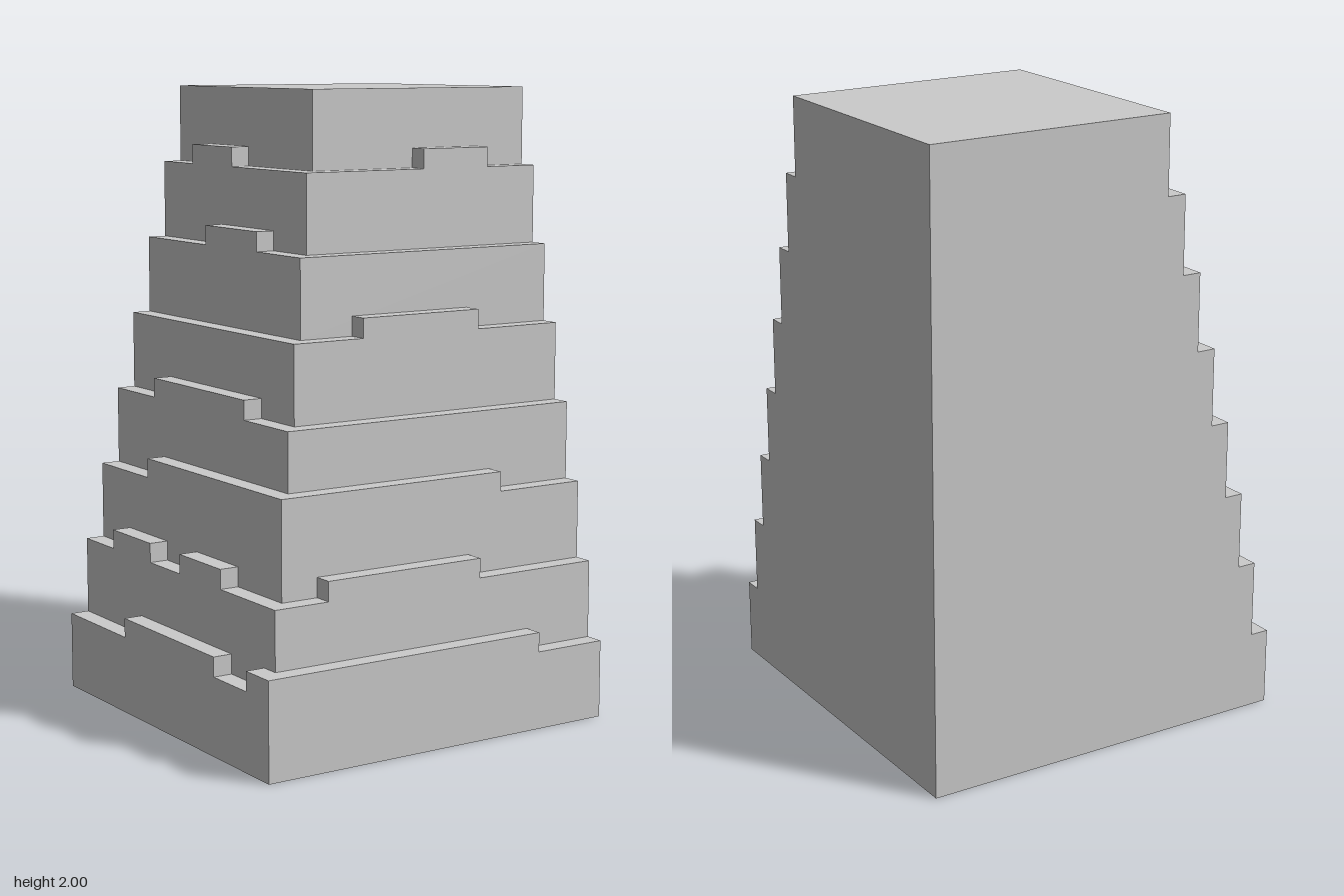
import * as THREE from 'three';

const U = 0.0625;      // ledge depth and ridge height
const HALF = 0.625;    // half width of the base
const STEP = 0.25;     // height of one tier

// Raised ridges on each tier's ledge: front spans along x, side spans along z
const TIERS = [
  { front: [[-0.5625, 0.375]], side: [[-0.25, 0.3125], [0.5, 0.625]] },
  { front: [[-0.375, 0.1875]], side: [[-0.4375, -0.1875], [0, 0.25]] },
  { front: [[-0.4375, 0.3125]], side: [[-0.3125, 0.5]] },
  { front: [], side: [[-0.375, 0.1875]] },
  { front: [[-0.125, 0.3125]], side: [] },
  { front: [], side: [[-0.25, 0.0625]] },
  { front: [[0.1875, 0.4375]], side: [[-0.4375, -0.1875]] },
  { front: [], side: [] },
];

export function createModel() {
  const group = new THREE.Group();
  group.name = 'steppedCliff';
  const material = new THREE.MeshStandardMaterial({ color: 0xcccccc, flatShading: true });

  // Box given by its extents on each axis
  function block(name, parent, [x0, x1], [y0, y1], [z0, z1]) {
    const mesh = new THREE.Mesh(new THREE.BoxGeometry(x1 - x0, y1 - y0, z1 - z0), material);
    mesh.position.set((x0 + x1) / 2, (y0 + y1) / 2, (z0 + z1) / 2);
    mesh.name = name;
    parent.add(mesh);
  }

  TIERS.forEach(({ front, side }, i) => {
    const tier = new THREE.Group();
    tier.name = `tier${i + 1}`;
    group.add(tier);

    // Each tier steps in on the front and right side; back and left stay flush
    const edge = HALF - i * U;
    const top = (i + 1) * STEP;
    block('tierBlock', tier, [-edge, HALF], [top - STEP, top], [-HALF, edge]);

    // Ridges standing on the ledge
    const rise = [top, top + U];
    front.forEach((span) => block('frontRidge', tier, span, rise, [edge - U, edge]));
    side.forEach((span) => block('sideRidge', tier, [-edge, U - edge], rise, span));
  });

  return group;
}
